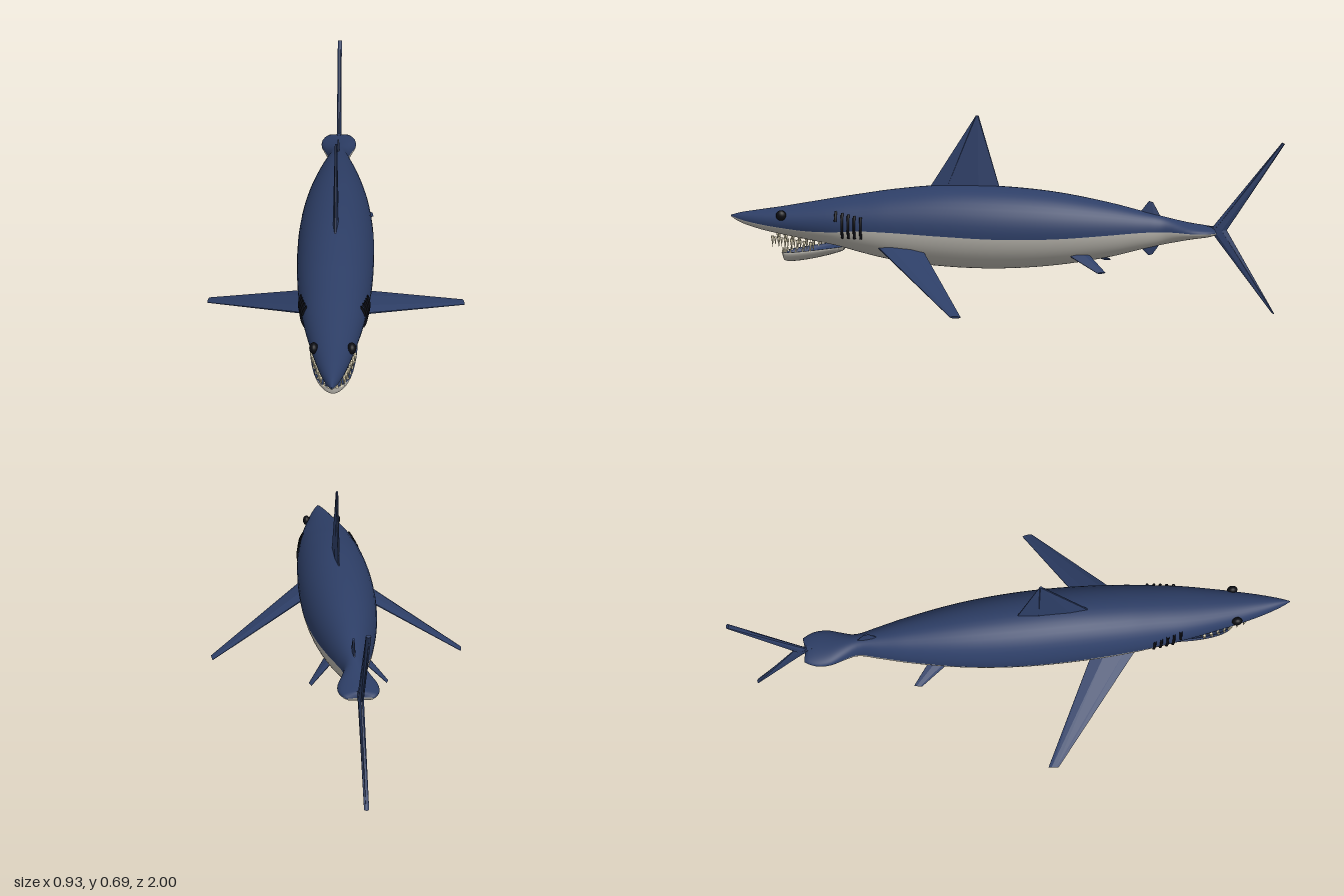
import * as THREE from 'three';

const mat = (name, color, side = THREE.FrontSide, flat = false) => {
  const m = new THREE.MeshStandardMaterial({ color, side, flatShading: flat });
  m.name = name;
  return m;
};
const V = (x, y, z) => new THREE.Vector3(x, y, z);

// Body stations: z, top, bottom, half width, height of the colour line
const STATIONS = [
  [-0.77, 0.304, 0.278, 0.045, 0.291],
  [-0.74, 0.309, 0.272, 0.062, 0.290],
  [-0.68, 0.318, 0.262, 0.067, 0.290],
  [-0.63, 0.329, 0.251, 0.052, 0.291],
  [-0.58, 0.341, 0.240, 0.038, 0.290],
  [-0.50, 0.360, 0.220, 0.055, 0.288],
  [-0.40, 0.384, 0.193, 0.079, 0.281],
  [-0.20, 0.420, 0.157, 0.115, 0.268],
  [0.00, 0.437, 0.140, 0.133, 0.265],
  [0.20, 0.438, 0.142, 0.135, 0.272],
  [0.40, 0.418, 0.163, 0.125, 0.280],
  [0.50, 0.402, 0.184, 0.114, 0.280],
  [0.60, 0.385, 0.209, 0.101, 0.272],
  [0.70, 0.367, 0.227, 0.083, 0.270],
  [0.80, 0.349, 0.244, 0.062, 0.277],
  [0.90, 0.333, 0.265, 0.037, 0.288],
  [0.97, 0.321, 0.288, 0.014, 0.300],
  [1.00, 0.312, 0.306, 0.001, 0.309],
];
const profile = new THREE.CubicInterpolant(
  STATIONS.map(s => s[0]), STATIONS.flatMap(s => s.slice(1)), 4, new Float32Array(4));

function sectionAt(z) {
  const [top, bottom, w, line] = profile.evaluate(z);
  const cy = (top + bottom) / 2, h = (top - bottom) / 2;
  return { w, h, cy, a0: Math.asin(THREE.MathUtils.clamp((line - cy) / h, -0.95, 0.95)) };
}

// Skin closed rings; columns below "split" use material 0, the others material 1
function loft(rings, split = Infinity) {
  const n = rings[0].length, parts = [[], []];
  const points = rings.flat();
  for (let r = 0; r < rings.length - 1; r++) {
    for (let i = 0; i < n; i++) {
      const a = r * n + i, b = r * n + (i + 1) % n;
      parts[i < split ? 0 : 1].push(a, b, a + n, b, b + n, a + n);
    }
  }
  // End caps
  [[0, 1], [rings.length - 1, -1]].forEach(([r, s]) => {
    const c = points.length;
    points.push(rings[r].reduce((p, q) => p.add(q), V(0, 0, 0)).divideScalar(n));
    for (let i = 0; i < n; i++) {
      const a = r * n + i, b = r * n + (i + 1) % n;
      parts[i < split ? 0 : 1].push(...(s > 0 ? [c, b, a] : [c, a, b]));
    }
  });
  const g = new THREE.BufferGeometry().setFromPoints(points);
  g.setIndex([...parts[0], ...parts[1]]);
  g.addGroup(0, parts[0].length, 0);
  g.addGroup(parts[0].length, parts[1].length, 1);
  g.computeVertexNormals();
  return g;
}

export function createModel() {
  const shark = new THREE.Group();
  shark.name = 'shark';
  const blue = mat('back blue', 0x2d3e66);
  const finBlue = blue;
  const grey = mat('belly grey', 0xb3b0a8);
  const ivory = mat('tooth ivory', 0xe6dcbc);
  const black = mat('black', 0x0b0c12, THREE.DoubleSide);
  const add = (name, geo, material, parent = shark) => {
    const m = new THREE.Mesh(geo, material);
    m.name = name;
    parent.add(m);
    return m;
  };

  // Body with a dark back and a pale belly
  const rings = [], COLS = 24, ROWS = 90;
  for (let r = 0; r <= ROWS; r++) {
    const z = -0.77 + 1.77 * r / ROWS, s = sectionAt(z), ring = [];
    for (let i = 0; i < COLS * 2; i++) {
      const k = (i % COLS) / COLS;
      const a = i < COLS ? s.a0 + k * (Math.PI - 2 * s.a0)
        : Math.PI - s.a0 + k * (Math.PI + 2 * s.a0);
      // Notch between the tail keels
      const notch = r === 0 ? 0.025 * (1 - Math.abs(Math.cos(a))) : 0;
      ring.push(V(s.w * Math.cos(a), s.cy + s.h * Math.sin(a), z + notch * 0.7));
    }
    rings.push(ring);
  }
  add('body', loft(rings, COLS), [blue, grey]);

  // Lower jaw: pale scoop outside, dark inside
  const jaw = [], HALF = 14, jawPoint = (u, a, inset = 0) => {
    const w = 0.078 * Math.pow(Math.cos(u), 0.7) + 0.002 - inset;
    const rim = 0.214 - 0.034 * Math.sin(u);
    const depth = 0.008 + 0.04 * Math.sqrt(Math.sin(u + 0.15)) * Math.pow(Math.cos(u), 0.35);
    return V(Math.max(w, 0.001) * Math.cos(a),
      rim + Math.max(depth - inset, 0.002) * Math.sin(a), 0.58 + 0.225 * Math.sin(u));
  };
  for (let r = 0; r <= 16; r++) {
    const u = r / 16 * Math.PI / 2 * 0.995, ring = [];
    for (let i = 0; i <= HALF; i++) ring.push(jawPoint(u, Math.PI * (1 + i / HALF)));
    for (let i = HALF; i >= 0; i--) ring.push(jawPoint(u, Math.PI * (1 + i / HALF), 0.009));
    jaw.push(ring);
  }
  add('lowerJaw', loft(jaw, HALF), [grey, blue]);

  // Teeth
  const teeth = new THREE.Group();
  teeth.name = 'teeth';
  shark.add(teeth);
  const upperTooth = new THREE.ConeGeometry(0.006, 0.042, 6).rotateX(Math.PI);
  const lowerTooth = new THREE.ConeGeometry(0.005, 0.024, 6);
  for (const side of [-1, 1]) {
    for (let i = 0; i < 7; i++) {
      const k = i / 6, z = 0.835 - 0.15 * k;
      for (const row of [0, 1]) {
        const t = add('upperTooth', upperTooth, ivory, teeth);
        t.position.set(side * (0.037 + 0.034 * k - row * 0.009), 0.223 - 0.014 * k, z - row * 0.008);
        t.scale.setScalar(1 - 0.2 * row);
      }
      const p = jawPoint(0.5 + 0.95 * (1 - k), 0, 0.006);
      add('lowerTooth', lowerTooth, ivory, teeth).position.set(side * p.x, p.y + 0.008, p.z);
    }
  }

  // Fins: lens sections between a root chord and a tip chord
  const fin = (name, rootLead, rootTrail, tipLead, tipTrail, rootT, tipT) => {
    const rl = V(...rootLead), rt = V(...rootTrail), tl = V(...tipLead), tt = V(...tipTrail);
    const normal = rt.clone().sub(rl).cross(tl.clone().sub(rl)).normalize();
    const section = (a, b, t) => [[0, 0.25], [0.25, 1], [0.7, 1], [1, 0.2], [1, -0.2], [0.7, -1], [0.25, -1], [0, -0.25]]
      .map(([k, s]) => a.clone().lerp(b, k).addScaledVector(normal, s * t));
    const g = loft([section(rl, rt, rootT), section(tl, tt, tipT)]).toNonIndexed();
    // Turn the faces outward if the loft came out reversed
    const p = g.attributes.position, v = i => V(0, 0, 0).fromBufferAttribute(p, i);
    let volume = 0;
    for (let i = 0; i < p.count; i += 3) volume += v(i).sub(rl).dot(v(i + 1).sub(rl).cross(v(i + 2).sub(rl)));
    if (volume < 0) {
      for (let i = 0; i < p.count; i += 3) {
        const b = v(i + 1), c = v(i + 2);
        p.setXYZ(i + 1, c.x, c.y, c.z);
        p.setXYZ(i + 2, b.x, b.y, b.z);
      }
    }
    g.clearGroups();
    g.computeVertexNormals();
    add(name, g, finBlue);
  };
  fin('dorsalFin', [0, 0.41, 0.27], [0, 0.41, -0.002], [0, 0.69, 0.09], [0, 0.69, 0.08], 0.01, 0.004);
  fin('rearDorsalFin', [0, 0.335, -0.485], [0, 0.325, -0.58], [0, 0.395, -0.53], [0, 0.39, -0.545], 0.006, 0.003);
  fin('analFin', [0, 0.245, -0.485], [0, 0.255, -0.58], [0, 0.2, -0.53], [0, 0.204, -0.545], 0.006, 0.003);
  fin('upperTailFin', [0, 0.28, -0.735], [0, 0.28, -0.795], [0, 0.61, -0.99], [0, 0.605, -1], 0.009, 0.008);
  fin('lowerTailFin', [0, 0.31, -0.735], [0, 0.305, -0.8], [0, 0.004, -0.968], [0, 0, -0.978], 0.009, 0.008);
  for (const s of [-1, 1]) {
    fin('pectoralFin', [s * 0.09, 0.222, 0.435], [s * 0.09, 0.214, 0.27],
      [s * 0.465, 0.056, 0.108], [s * 0.46, 0.055, 0.072], 0.012, 0.004);
    fin('pelvicFin', [s * 0.06, 0.212, -0.235], [s * 0.06, 0.205, -0.325],
      [s * 0.136, 0.155, -0.36], [s * 0.13, 0.157, -0.388], 0.007, 0.003);

    // Eyes
    const eye = add(s > 0 ? 'leftEye' : 'rightEye', new THREE.SphereGeometry(0.019, 16, 12), black);
    eye.position.set(s * 0.061, 0.323, 0.795);
    eye.scale.set(0.75, 1, 1);

    // Gill slits: narrow strips just over the skin
    [0.585, 0.56, 0.537, 0.514, 0.49].forEach((z, n) => {
      const lo = n === 0 ? 0.312 : 0.252, hi = 0.346 - 0.004 * n, path = [];
      for (let i = 0; i <= 6; i++) {
        const y = lo + (hi - lo) * i / 6, b = sectionAt(z);
        const q = (y - b.cy) / b.h;
        path.push(V(s * (b.w * Math.sqrt(1 - q * q) + 0.002), y, z));
      }
      add('gillSlit', new THREE.TubeGeometry(new THREE.CatmullRomCurve3(path), 12, 0.0048, 6), black);
    });
  }
  return shark;
}
